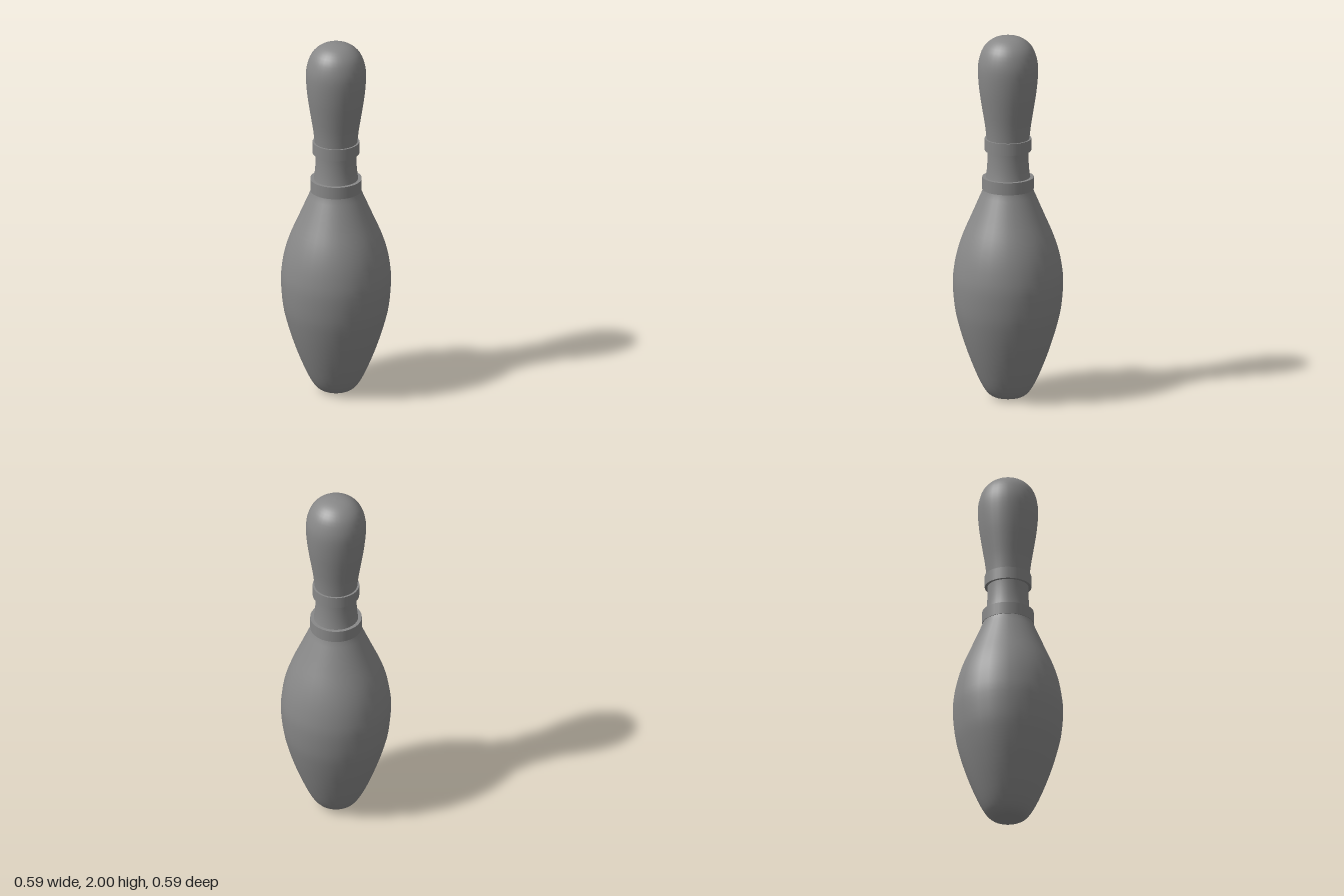
import * as THREE from 'three';

const SIDES = 32;
const material = new THREE.MeshStandardMaterial({ color: 0x888888 });

function lathe(name, points) {
  const mesh = new THREE.Mesh(new THREE.LatheGeometry(points, SIDES), material);
  mesh.name = name;
  return mesh;
}

// Straight-walled ring with crisp edges: each wall is its own short lathe segment
function band(name, inner, outer, bottom, top) {
  const corners = [[inner, bottom], [outer, bottom], [outer, top], [inner, top], [inner, bottom]]
    .map(([r, y]) => new THREE.Vector2(r, y));
  const group = new THREE.Group();
  group.name = name;
  for (let i = 0; i < 4; i++) group.add(lathe(`${name}Wall${i + 1}`, [corners[i], corners[i + 1]]));
  return group;
}

export function createModel() {
  const model = new THREE.Group();
  model.name = 'bowlingPin';

  // Pin body: a smooth profile of radius and height, from base to crown
  const profile = [
    [0, 0], [0.04, 0.003], [0.08, 0.009], [0.115, 0.036], [0.153, 0.1],
    [0.196, 0.2], [0.232, 0.3], [0.262, 0.4], [0.284, 0.5], [0.295, 0.63],
    [0.289, 0.72], [0.272, 0.81], [0.243, 0.9], [0.2, 1.0], [0.157, 1.1],
    [0.133, 1.16], [0.116, 1.24], [0.11, 1.32], [0.112, 1.4], [0.122, 1.5],
    [0.138, 1.6], [0.153, 1.7], [0.161, 1.8], [0.156, 1.87], [0.133, 1.934],
    [0.092, 1.976], [0.046, 1.995], [0, 2],
  ].map(([r, y]) => new THREE.Vector2(r, y));
  const points = new THREE.SplineCurve(profile).getPoints(81);
  points.forEach((p) => { p.x = Math.max(p.x, 0); p.y = THREE.MathUtils.clamp(p.y, 0, 2); });
  model.add(lathe('body', points));

  // Neck bands
  model.add(band('lowerBand', 0.112, 0.138, 1.155, 1.222));
  model.add(band('upperBand', 0.105, 0.125, 1.37, 1.435));

  return model;
}
